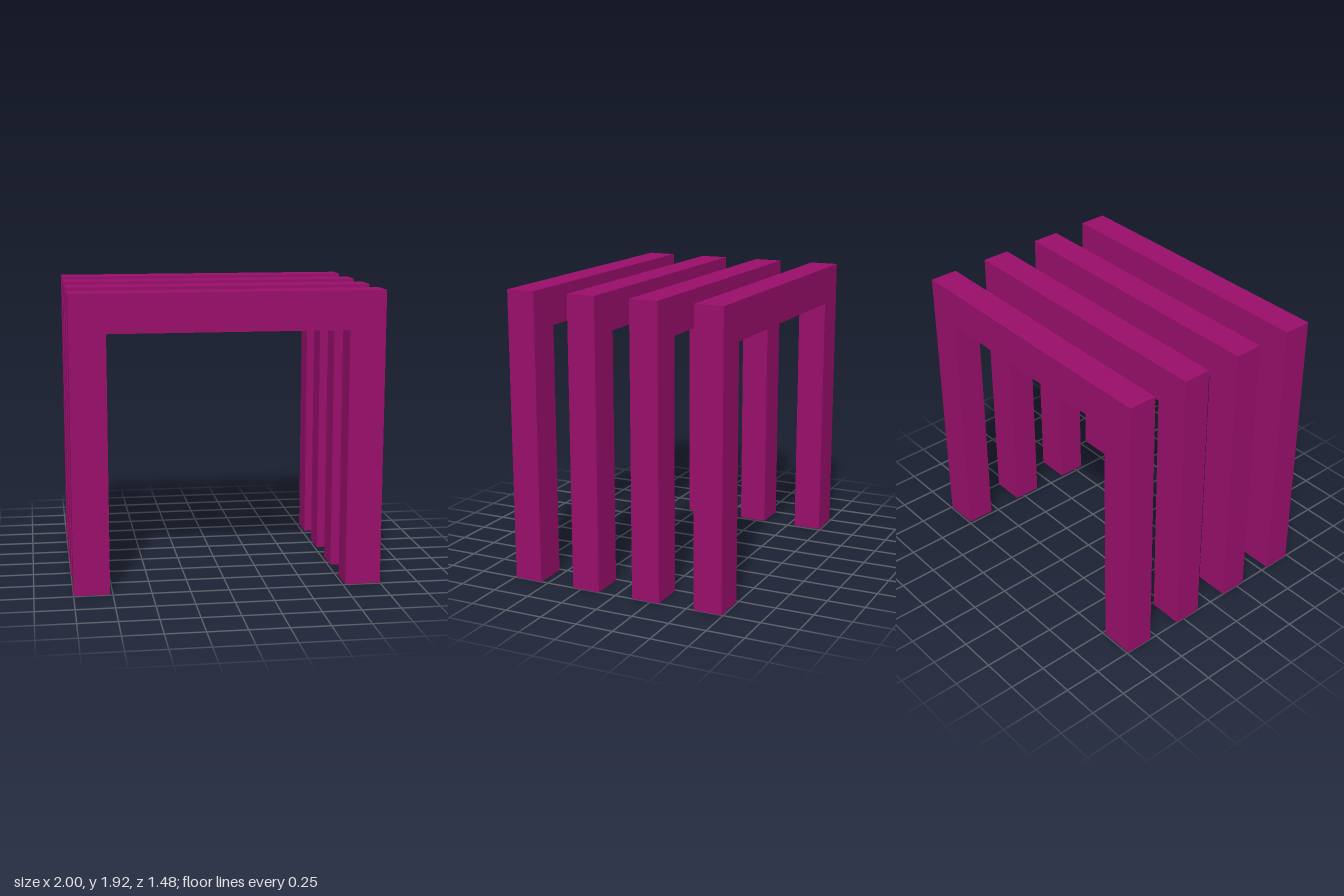
import * as THREE from 'three';

const WIDTH = 2, HEIGHT = 1.92, DEPTH = 0.19;
const LEG = 0.232, BEAM = 0.25;
const SPACING = 0.43, COUNT = 4;

// Upside-down U outline, extruded and centred on z
function frameGeometry() {
  const o = WIDTH / 2, i = o - LEG, under = HEIGHT - BEAM;
  const outline = [[-o, 0], [-i, 0], [-i, under], [i, under], [i, 0], [o, 0], [o, HEIGHT], [-o, HEIGHT]];
  const shape = new THREE.Shape(outline.map(([x, y]) => new THREE.Vector2(x, y)));
  const geometry = new THREE.ExtrudeGeometry(shape, { depth: DEPTH, bevelEnabled: false });
  return geometry.translate(0, 0, -DEPTH / 2);
}

export function createModel() {
  const model = new THREE.Group();
  model.name = 'archFrames';
  const material = new THREE.MeshStandardMaterial({ color: 0x990f6b });
  const geometry = frameGeometry();

  // Row of identical portal frames, front to back
  for (let n = 0; n < COUNT; n++) {
    const frame = new THREE.Mesh(geometry, material);
    frame.name = `portalFrame${n + 1}`;
    frame.position.z = ((COUNT - 1) / 2 - n) * SPACING;
    model.add(frame);
  }
  return model;
}
